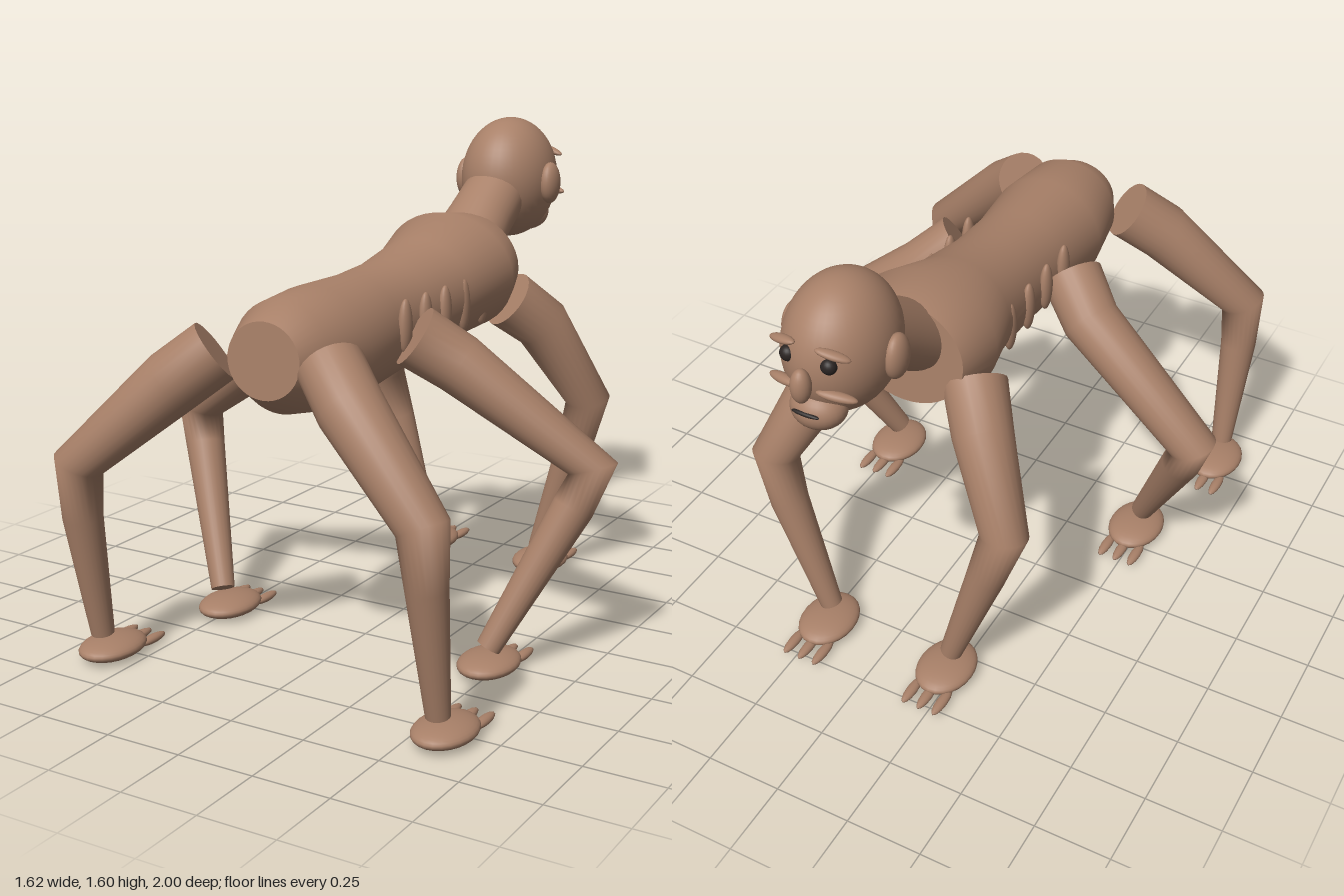
import * as THREE from 'three';

const V = (x, y, z) => new THREE.Vector3(x, y, z);

// Closed tube through sections [x, y, z, radiusU, radiusV]; ref fixes the ring orientation
function loft(sections, ref, sides = 32) {
  const c = sections.map(s => V(s[0], s[1], s[2]));
  const n = c.length;
  const pos = [], idx = [], rings = [];
  c.forEach((p, i) => {
    const t = V(0, 0, 0);
    if (i > 0) t.add(p.clone().sub(c[i - 1]).normalize());
    if (i < n - 1) t.add(c[i + 1].clone().sub(p).normalize());
    t.normalize();
    const u = t.clone().cross(ref).normalize();
    const v = t.clone().cross(u);
    const ru = sections[i][3], rv = sections[i][4] ?? ru;
    const ring = [];
    for (let j = 0; j < sides; j++) {
      const a = j / sides * Math.PI * 2;
      ring.push(p.clone().addScaledVector(u, ru * Math.cos(a)).addScaledVector(v, rv * Math.sin(a)));
    }
    rings.push(ring);
    ring.forEach(q => pos.push(q.x, q.y, q.z));
  });
  for (let i = 0; i < n - 1; i++) for (let j = 0; j < sides; j++) {
    const k = (j + 1) % sides;
    const a = i * sides + j, b = i * sides + k;
    idx.push(a, b, a + sides, b, b + sides, a + sides);
  }
  // flat end caps with their own vertices
  [0, n - 1].forEach(e => {
    const base = pos.length / 3;
    pos.push(c[e].x, c[e].y, c[e].z);
    rings[e].forEach(q => pos.push(q.x, q.y, q.z));
    for (let j = 0; j < sides; j++) {
      const a = base + 1 + j, b = base + 1 + (j + 1) % sides;
      if (e === 0) idx.push(base, b, a); else idx.push(base, a, b);
    }
  });
  const g = new THREE.BufferGeometry();
  g.setAttribute('position', new THREE.Float32BufferAttribute(pos, 3));
  g.setIndex(idx);
  g.computeVertexNormals();
  return g;
}

export function createModel() {
  const model = new THREE.Group();
  const skin = new THREE.MeshStandardMaterial({ color: 0xa88068 });
  skin.name = 'skin';
  const dark = new THREE.MeshStandardMaterial({ color: 0x2a2422 });
  dark.name = 'dark';

  function add(parent, name, geometry, material = skin) {
    const m = new THREE.Mesh(geometry, material);
    m.name = name;
    parent.add(m);
    return m;
  }
  function ellipsoid(parent, name, p, r, material = skin, seg = 20) {
    const m = add(parent, name, new THREE.SphereGeometry(1, seg, Math.ceil(seg * 0.7)), material);
    m.position.set(...p);
    m.scale.set(...r);
    return m;
  }

  // Torso, from rump to chest
  add(model, 'torso', loft([
    [0, 1.035, 0.80, 0.125, 0.115],
    [0, 1.03, 0.71, 0.17, 0.17],
    [0, 1.02, 0.53, 0.2, 0.192],
    [0, 1.03, 0.30, 0.172, 0.182],
    [0, 1.05, 0.10, 0.175, 0.175],
    [0, 1.083, -0.12, 0.195, 0.183],
    [0, 1.122, -0.30, 0.245, 0.203],
    [0, 1.13, -0.43, 0.2, 0.175],
  ], V(0, 1, 0), 40));

  // Neck
  add(model, 'neck', loft([
    [0, 1.17, -0.39, 0.13, 0.11],
    [0, 1.27, -0.53, 0.115, 0.105],
    [0, 1.37, -0.68, 0.11, 0.105],
  ], V(0, 1, 0)));

  // Head and face
  const head = new THREE.Group();
  head.name = 'head';
  model.add(head);
  ellipsoid(head, 'skull', [0, 1.39, -0.753], [0.162, 0.21, 0.198], skin, 40);
  ellipsoid(head, 'muzzle', [0, 1.25, -0.888], [0.085, 0.066, 0.075], skin, 28);
  ellipsoid(head, 'nose', [0, 1.37, -0.968], [0.03, 0.055, 0.032]);
  ellipsoid(head, 'mouth', [0, 1.265, -0.957], [0.045, 0.007, 0.009], dark);
  for (const s of [1, -1]) {
    ellipsoid(head, 'ear', [s * 0.165, 1.38, -0.74], [0.033, 0.072, 0.052], skin, 24);
    ellipsoid(head, 'eye', [s * 0.065, 1.43, -0.925], [0.024, 0.024, 0.022], dark);
    const brow = ellipsoid(head, 'brow', [s * 0.08, 1.472, -0.925], [0.052, 0.012, 0.018]);
    brow.rotation.set(0, -s * 0.3, -s * 0.25);
    const cheek = ellipsoid(head, 'cheek', [s * 0.085, 1.335, -0.925], [0.06, 0.014, 0.018]);
    cheek.rotation.set(0, -s * 0.3, -s * 0.15);
  }

  // Ribs along the flanks
  for (const s of [1, -1]) for (let i = 0; i < 5; i++) {
    ellipsoid(model, 'rib', [s * 0.176, 1.06, 0.293 - i * 0.125], [0.02, 0.086, 0.029]);
  }

  // Three pairs of limbs: hip, bend, knee, shin, ankle; then foot centre [x, z]
  const limbs = {
    rear: {
      path: [[0.2, 1.035, 0.755, 0.1], [0.31, 0.94, 0.825, 0.1], [0.595, 0.675, 0.925, 0.078],
        [0.6, 0.5, 0.912, 0.062], [0.6, 0.1, 0.845, 0.037]],
      foot: [0.6, 0.8],
    },
    middle: {
      path: [[0.21, 1.035, 0.295, 0.1], [0.32, 0.945, 0.215, 0.095], [0.735, 0.65, 0.125, 0.078],
        [0.69, 0.53, 0.165, 0.065], [0.5, 0.1, 0.345, 0.039]],
      foot: [0.49, 0.32],
    },
    front: {
      path: [[0.2, 1.035, -0.355, 0.1], [0.28, 0.94, -0.455, 0.095], [0.41, 0.67, -0.56, 0.076],
        [0.36, 0.5, -0.575, 0.062], [0.23, 0.095, -0.57, 0.037]],
      foot: [0.225, -0.595],
    },
  };
  for (const [name, limb] of Object.entries(limbs)) for (const s of [1, -1]) {
    const path = limb.path.map(([x, y, z, r]) => [s * x, y, z, r]);
    add(model, name + 'Leg', loft(path, V(0, 0, 1), 24));
    const foot = new THREE.Group();
    foot.name = name + 'Foot';
    foot.position.set(s * limb.foot[0], 0, limb.foot[1]);
    model.add(foot);
    ellipsoid(foot, 'sole', [0, 0.04, 0], [0.093, 0.035, 0.125], skin, 24);
    for (const k of [-1, 0, 1]) {
      ellipsoid(foot, 'toe', [k * 0.055, 0.026, -0.13], [0.018, 0.014, 0.062], skin, 12);
    }
  }
  return model;
}
